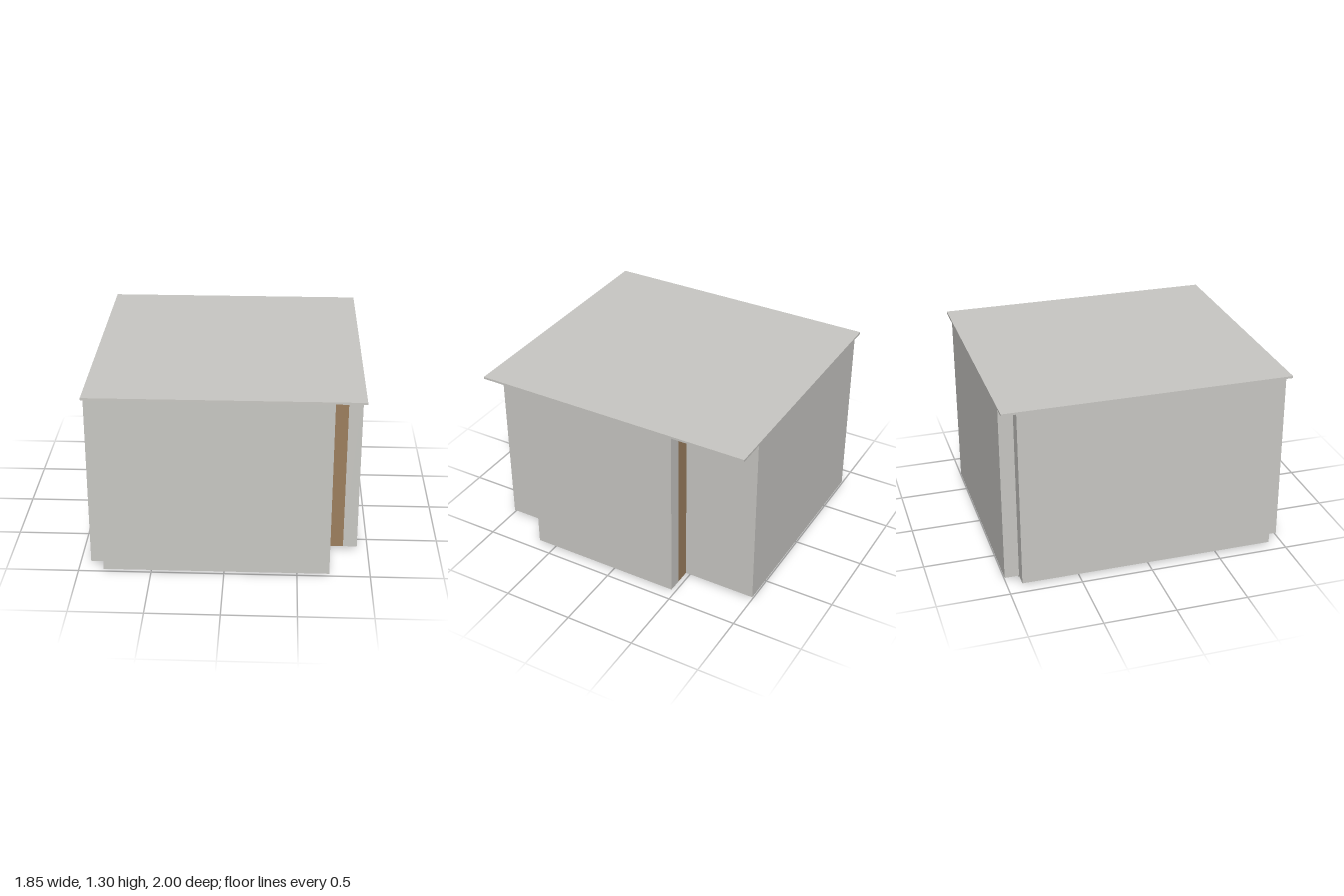
import * as THREE from 'three';

export function createModel() {
  const plaster = new THREE.MeshStandardMaterial({ color: 0xc9c8c4 });
  plaster.name = 'pale grey plaster';
  const timber = new THREE.MeshStandardMaterial({ color: 0x9c7f5e });
  timber.name = 'brown timber';

  const model = new THREE.Group();
  model.name = 'boxRoom';

  // Box given by its extents on each axis
  function slab(name, material, [x0, x1], [y0, y1], [z0, z1]) {
    const mesh = new THREE.Mesh(new THREE.BoxGeometry(x1 - x0, y1 - y0, z1 - z0), material);
    mesh.position.set((x0 + x1) / 2, (y0 + y1) / 2, (z0 + z1) / 2);
    mesh.name = name;
    model.add(mesh);
  }

  const wallY = [0.018, 1.285];
  const bayZ = [-0.477, 0.63];

  // Overhanging roof and floor slab
  slab('roof', plaster, [-0.925, 0.925], [1.285, 1.3], [-1, 1]);
  slab('floor', plaster, [-0.825, 0.62], [0, 0.018], [-0.9, 0.9]);

  // Walls enclosing the room
  slab('frontWall', plaster, [-0.825, 0.72], wallY, [0.9, 1]);
  slab('backWall', plaster, [-0.825, 0.72], wallY, [-1, -0.9]);
  slab('rightWall', plaster, [-0.925, -0.825], wallY, [-0.9, 0.9]);
  slab('leftWallFront', plaster, [0.62, 0.72], wallY, [bayZ[1], 0.9]);
  slab('leftWallBack', plaster, [0.62, 0.72], wallY, [-0.9, bayZ[0]]);

  // Projecting bay: timber core faced with an outer panel
  slab('bayCore', timber, [0.62, 0.828], wallY, bayZ);
  slab('bayPanel', plaster, [0.828, 0.925], wallY, bayZ);

  return model;
}
